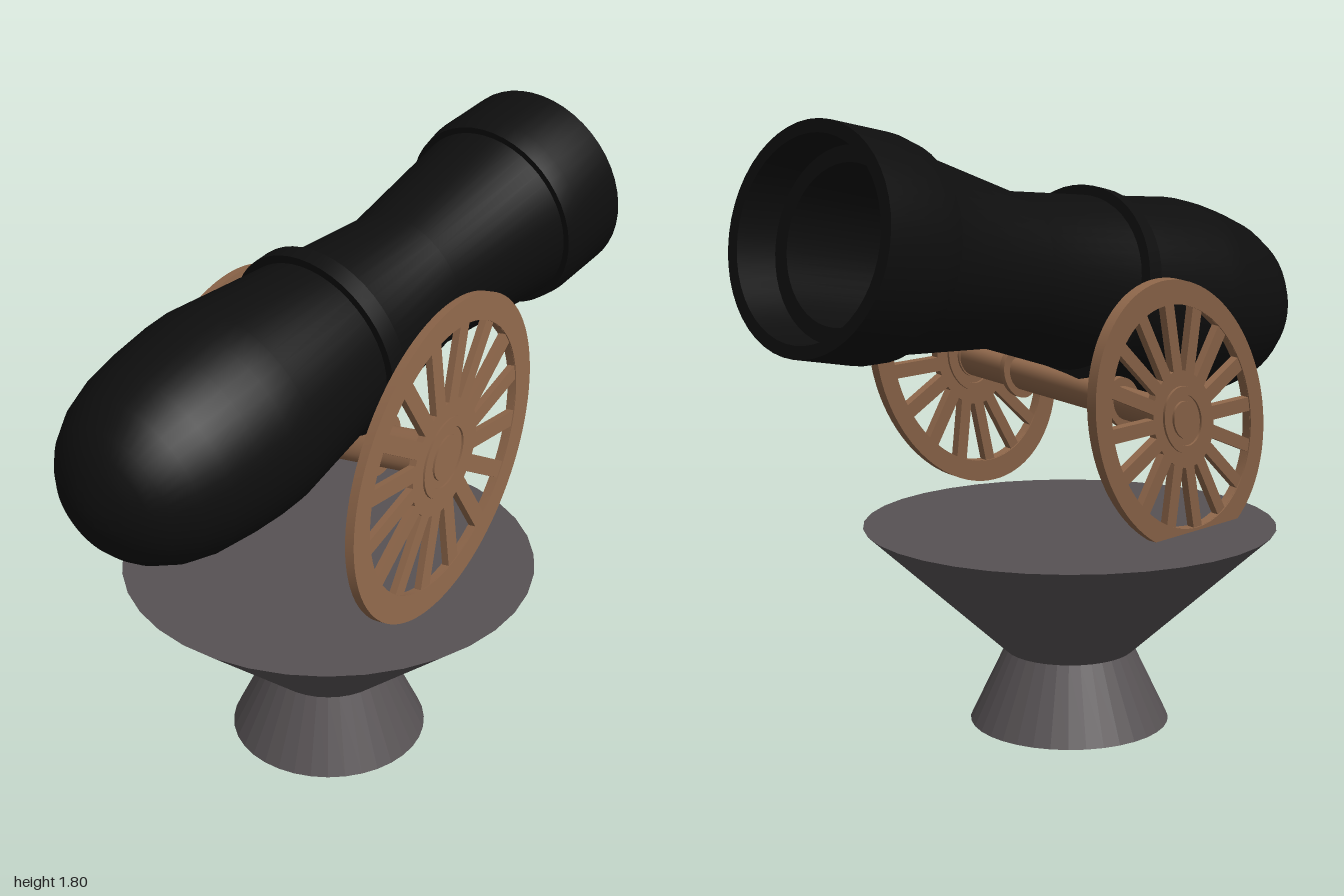
import * as THREE from 'three';
import { toCreasedNormals } from 'three/addons/utils/BufferGeometryUtils.js';

const iron = new THREE.MeshStandardMaterial({ color: 0x0e0e0e });
const wood = new THREE.MeshStandardMaterial({ color: 0x8c6549 });
const stone = new THREE.MeshStandardMaterial({ color: 0x575254, flatShading: true });

function lathe(points, segments) {
  return new THREE.LatheGeometry(points.map(([r, y]) => new THREE.Vector2(r, y)), segments);
}

function add(parent, name, geometry, material) {
  const mesh = new THREE.Mesh(geometry, material);
  mesh.name = name;
  parent.add(mesh);
  return mesh;
}

// Ring or spoked disc of unit radius, extruded about z = 0
function extrude(shape, depth) {
  const g = new THREE.ExtrudeGeometry(shape, { depth, bevelEnabled: false, curveSegments: 48 });
  return g.translate(0, 0, -depth / 2);
}

function ringShape(outer, inner) {
  const s = new THREE.Shape().absarc(0, 0, outer, 0, Math.PI * 2);
  s.holes.push(new THREE.Path().absarc(0, 0, inner, 0, Math.PI * 2, true));
  return s;
}

// Disc with wedge-shaped openings that leave straight spokes
function spokeShape(count) {
  const s = new THREE.Shape().absarc(0, 0, 0.86, 0, Math.PI * 2);
  const rIn = 0.36, rOut = 0.83, half = 0.052, step = Math.PI * 2 / count;
  for (let i = 0; i < count; i++) {
    const a = i * step;
    const corner = (r, side, t = 1) => {
      const b = a + side * t * (step / 2 - Math.asin(half / r));
      return new THREE.Vector2(r * Math.cos(b), r * Math.sin(b));
    };
    s.holes.push(new THREE.Path([
      corner(rIn, -1), corner(rIn, 1), corner(rOut, 1), corner(rOut, 0), corner(rOut, -1),
    ]));
  }
  return s;
}

export function createModel() {
  const model = new THREE.Group();
  model.name = 'cannonOnPedestal';

  // Pedestal: flared foot and wide bowl with a flat top
  const pedestal = add(model, 'pedestal', lathe(
    [[0, 0], [0.3, 0], [0.195, 0.22], [0.615, 0.605], [0, 0.605]], 36), stone);
  pedestal.position.x = -0.06;

  // Barrel: distances run back from the muzzle along the tilted axis
  const barrel = new THREE.Group();
  barrel.name = 'barrel';
  barrel.position.set(0.945, 1.5, 0);
  barrel.rotation.z = THREE.MathUtils.degToRad(-80);
  model.add(barrel);
  const body = lathe([
    [0, -1.972], [0.035, -1.969], [0.075, -1.958], [0.135, -1.93], [0.175, -1.9], [0.208, -1.865],
    [0.25, -1.795], [0.278, -1.71], [0.295, -1.6], [0.304, -1.5], [0.305, -1.42],
    [0.26, -1.06], [0.219, -0.69], [0.274, -0.255],
    [0.292, -0.255], [0.302, -0.2], [0.3, 0],
    [0.265, 0], [0.255, -0.12], [0.21, -0.12], [0.2, -0.6], [0, -0.6],
  ], 48);
  add(barrel, 'barrelBody', toCreasedNormals(body, 0.45), iron);
  add(barrel, 'barrelBand', toCreasedNormals(lathe([
    [0.25, -1.085], [0.286, -1.085], [0.286, -1.03], [0.25, -1.03],
  ], 48), 0.5), iron);

  // Carriage frame: unit wheels at z = -0.5 and 0.5, slanted and sheared into place
  const carriage = new THREE.Group();
  carriage.name = 'carriage';
  model.add(carriage);
  const column = (x, y) => new THREE.Vector3(x, y, -0.136 * y);
  const slant = new THREE.Matrix4().makeBasis(
    column(0.348, 0.337), column(-0.227, 0.234), new THREE.Vector3(0.06, 0.11, 0.775));
  slant.setPosition(-0.06, 1.012, 0);
  const place = (parent, name, g, z) =>
    add(parent, name, toCreasedNormals(g.translate(0, 0, z), 0.5).applyMatrix4(slant), wood);
  const rod = (r, length) => new THREE.CylinderGeometry(r, r, length, 32).rotateX(Math.PI / 2);

  place(carriage, 'axle', rod(0.128, 1), 0);
  for (const side of [1, -1]) {
    place(carriage, 'axleCollar', rod(0.192, 0.02), side * 0.242);

    // Wheel: rim, spokes and a stepped hub
    const wheel = new THREE.Group();
    wheel.name = side > 0 ? 'leftWheel' : 'rightWheel';
    carriage.add(wheel);
    const z = side * 0.5;
    place(wheel, 'rim', extrude(ringShape(1, 0.83), 0.036), z);
    place(wheel, 'spokes', extrude(spokeShape(16), 0.028), z);
    place(wheel, 'hubRing', extrude(ringShape(0.25, 0.19), 0.044), z);
    place(wheel, 'hubCap', rod(0.14, 0.044), z);
  }
  return model;
}
